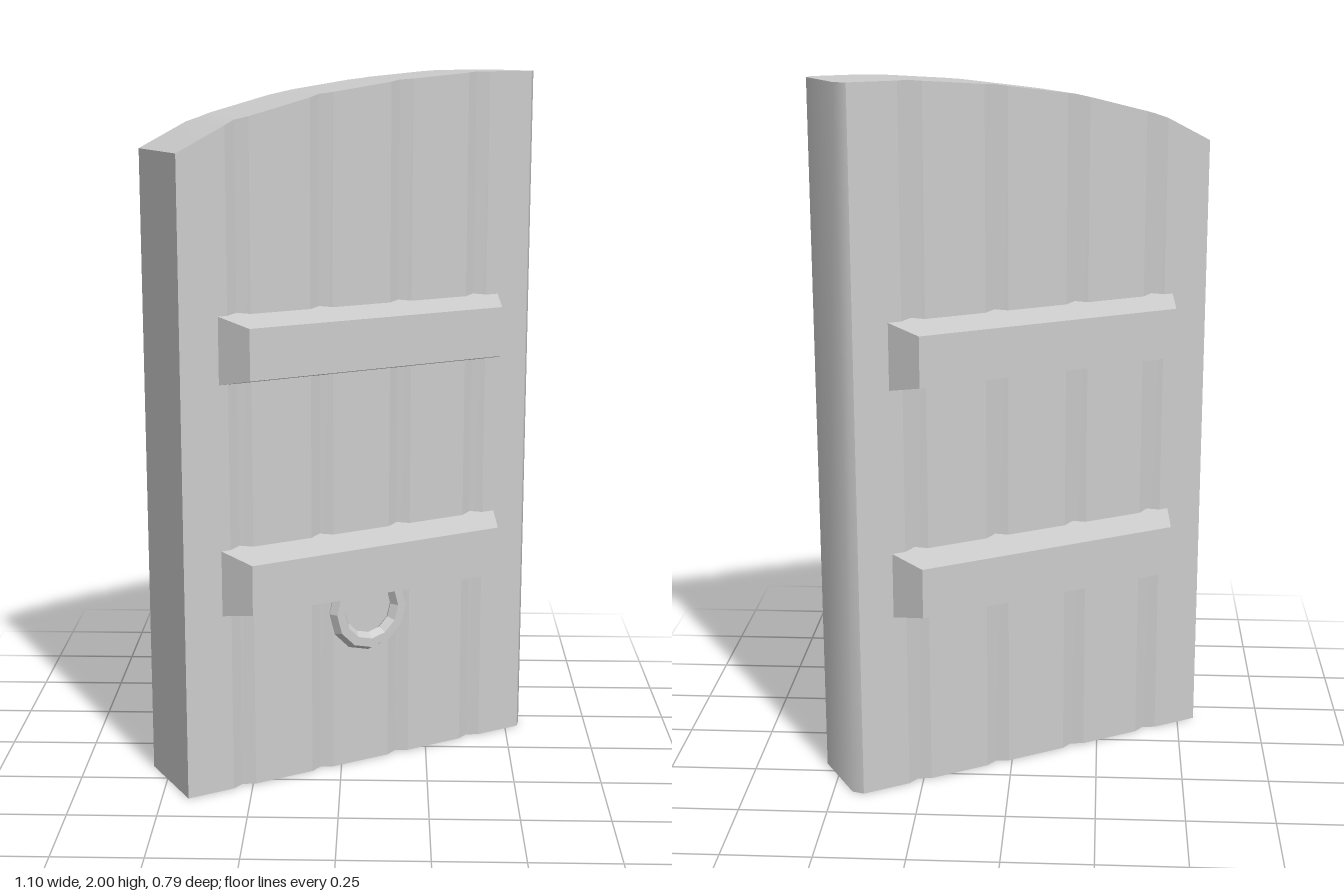
import * as THREE from 'three';
import { toCreasedNormals } from 'three/addons/utils/BufferGeometryUtils.js';

const material = new THREE.MeshStandardMaterial({ color: 0xcccccc });
const flatMaterial = new THREE.MeshStandardMaterial({ color: 0xcccccc, flatShading: true });

const HALF = 0.126; // half thickness of the door
const GROOVES = [-0.385, -0.132, 0.121, 0.373];
const ARCH = [[-0.561, 1.8], [-0.43, 1.865], [-0.385, 1.882], [-0.133, 1.945], [0.121, 1.98], [0.373, 2], [0.6, 2]];

// Height of the arched top edge at a given x
function topAt(x) {
  let i = 1;
  while (i < ARCH.length - 1 && x > ARCH[i][0]) i++;
  const [x0, y0] = ARCH[i - 1], [x1, y1] = ARCH[i];
  return y0 + ((y1 - y0) * (x - x0)) / (x1 - x0);
}

// Band of quads between two rows of points, smooth below the crease angle
function strip(a, b, crease) {
  const pos = [];
  for (let i = 0; i < a.length - 1; i++) {
    for (const p of [a[i], a[i + 1], b[i + 1], a[i], b[i + 1], b[i]]) pos.push(...p);
  }
  const geo = new THREE.BufferGeometry();
  geo.setAttribute('position', new THREE.Float32BufferAttribute(pos, 3));
  return toCreasedNormals(geo, crease);
}

function add(parent, name, geo, mat = material) {
  const mesh = new THREE.Mesh(geo, mat);
  mesh.name = name;
  parent.add(mesh);
  return mesh;
}

// Planked panel with V grooves on both faces and a rounded edge
function makePanel() {
  const panel = new THREE.Group();
  panel.name = 'doorPanel';
  const front = [[-0.561, HALF]];
  for (const c of GROOVES) front.push([c - 0.035, HALF], [c, HALF - 0.016], [c + 0.035, HALF]);
  front.push([0.55, HALF]);
  const corner = [0.574, HALF - 0.027];
  const mirror = ([x, z]) => [x, -z];
  const low = ([x, z]) => [x, 0, z];
  const high = ([x, z]) => [x, topAt(x), z];
  const wall = (name, pts, crease) => add(panel, name, strip(pts.map(low), pts.map(high), crease));

  const back = front.map(mirror).reverse();
  wall('frontPlanks', front, 0.2);
  wall('roundedEdge', [front.at(-1), corner, mirror(corner), back[0]], 1.2);
  wall('backPlanks', back, 0.2);
  wall('straightEdge', [back.at(-1), front[0]], 0.2);

  const row = [...front, corner];
  const rowBack = row.map(mirror);
  add(panel, 'archedTop', strip(row.map(high), rowBack.map(high), 0.5));
  add(panel, 'bottom', strip(rowBack.map(low), row.map(low), 0.5));
  return panel;
}

// Cross bar: a box whose outer face is smaller than its base
function crossBarGeometry() {
  const inner = 0.1, outer = 0.223;
  const geo = new THREE.BoxGeometry(1, 1, 1);
  const p = geo.attributes.position;
  for (let i = 0; i < p.count; i++) {
    const isOuter = p.getZ(i) > 0;
    p.setXYZ(i,
      Math.sign(p.getX(i)) * (isOuter ? 0.4 : 0.46),
      Math.sign(p.getY(i)) * (isOuter ? 0.071 : 0.1),
      isOuter ? outer : inner);
  }
  geo.computeVertexNormals();
  return geo;
}

export function createModel() {
  const model = new THREE.Group();
  model.name = 'door';
  const leaf = new THREE.Group();
  leaf.name = 'doorLeaf';
  leaf.add(makePanel());

  // Two cross bars on each face
  const barGeo = crossBarGeometry();
  for (const [side, turn] of [['front', 0], ['back', Math.PI]]) {
    for (const [level, y] of [['Lower', 0.615], ['Upper', 1.27]]) {
      const bar = add(leaf, `${side}${level}CrossBar`, barGeo);
      bar.position.y = y;
      bar.rotation.y = turn;
    }
  }

  // Pull ring hanging from the lower front bar
  const ring = add(leaf, 'pullRing', new THREE.TorusGeometry(0.1, 0.026, 6, 12), flatMaterial);
  ring.position.set(-0.01, 0.491, 0.175);

  // The door stands turned, as if ajar
  leaf.position.z = -0.004;
  const swing = new THREE.Group();
  swing.name = 'swing';
  swing.rotation.y = Math.PI / 6;
  swing.add(leaf);
  model.add(swing);
  return model;
}
